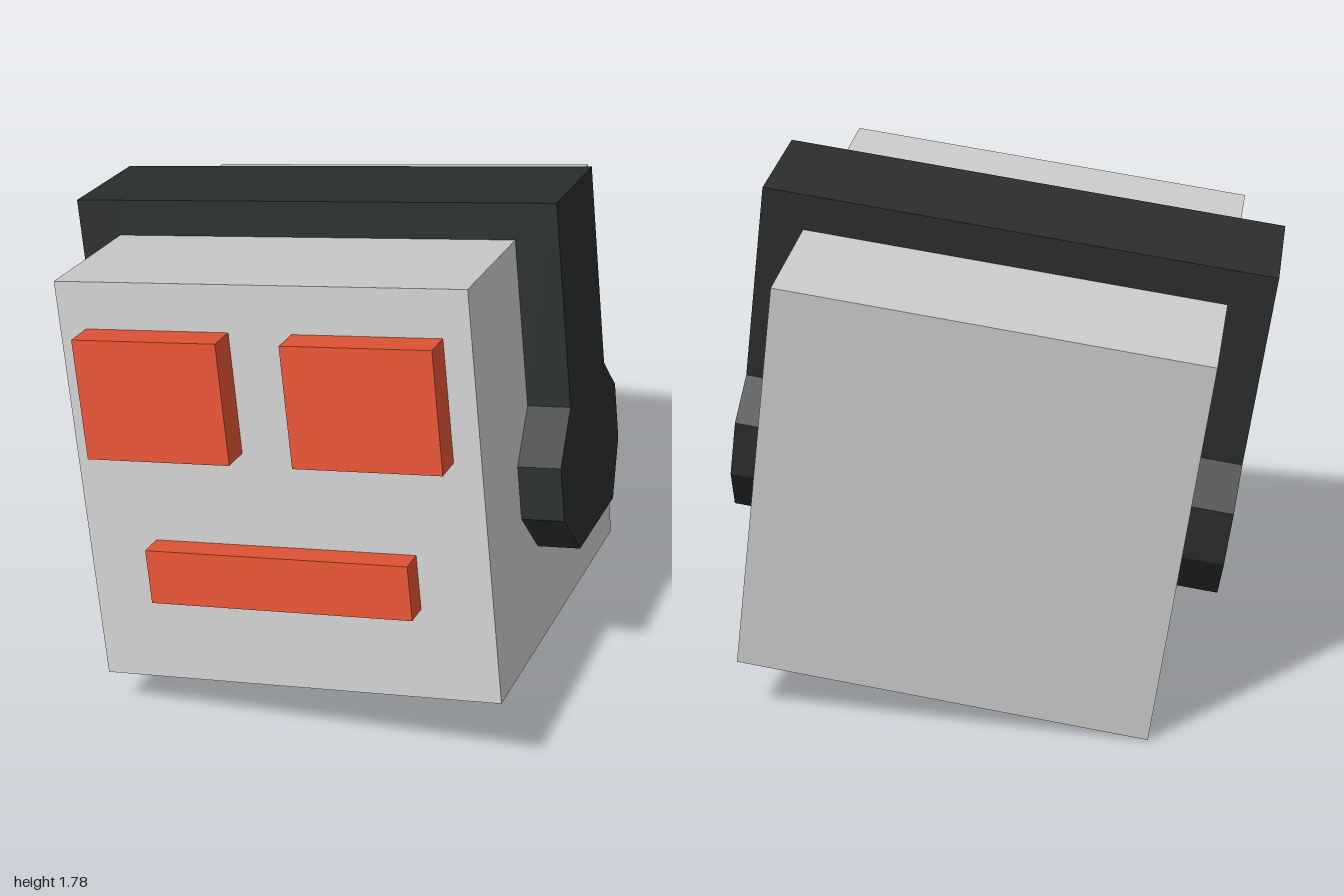
import * as THREE from 'three';

const HALF = 0.683;   // half of the cubic head
const OUTER = 0.825;  // outer face of the headset sides
const TOP = 0.803;    // top of the headband
const BAND_Z = -0.02;

const grey = new THREE.MeshStandardMaterial({ color: 0xcccccc });
const red = new THREE.MeshStandardMaterial({ color: 0xe25335 });
const black = new THREE.MeshStandardMaterial({ color: 0x2a2e2d });

function box(name, material, [w, h, d], [x, y, z]) {
  const mesh = new THREE.Mesh(new THREE.BoxGeometry(w, h, d), material);
  mesh.name = name;
  mesh.position.set(x, y, z);
  return mesh;
}

// Side plate of the headset: straight arm widening into an eight-sided ear pad
function earPlate() {
  const outline = [
    [-0.21, TOP], [-0.21, 0.13], [-0.328, 0.01], [-0.328, -0.183],
    [-0.215, -0.36], [0.21, -0.36], [0.36, -0.2], [0.36, -0.02],
    [0.21, 0.13], [0.21, TOP],
  ].map(([z, y]) => new THREE.Vector2(z, y));
  return new THREE.ExtrudeGeometry(new THREE.Shape(outline), {
    depth: OUTER - HALF, bevelEnabled: false,
  }).rotateY(-Math.PI / 2);
}

export function createModel() {
  const model = new THREE.Group();
  model.name = 'robotHead';
  const tilted = new THREE.Group();
  tilted.name = 'tiltedHead';
  model.add(tilted);

  // Head
  tilted.add(box('head', grey, [HALF * 2, HALF * 2, HALF * 2], [0, 0, 0]));

  // Face: two square eyes and a bar mouth
  for (const s of [-1, 1]) {
    tilted.add(box(s > 0 ? 'leftEye' : 'rightEye', red,
      [0.488, 0.4, 0.106], [s * 0.349, 0.327, HALF + 0.053]));
  }
  tilted.add(box('mouth', red, [0.888, 0.184, 0.087], [0, -0.281, HALF + 0.0435]));

  // Headset: top band and mirrored side plates
  tilted.add(box('headband', black,
    [HALF * 2, TOP - HALF, 0.42], [0, (TOP + HALF) / 2, BAND_Z]));
  const plate = earPlate();
  for (const s of [-1, 1]) {
    const mesh = new THREE.Mesh(plate, black);
    mesh.name = s > 0 ? 'leftEarPad' : 'rightEarPad';
    mesh.position.set(s > 0 ? OUTER : -HALF, 0, BAND_Z);
    tilted.add(mesh);
  }

  // Pose: the cube rests on one corner
  const up = new THREE.Vector3(-0.176, 0.983, -0.055).normalize();
  const front = new THREE.Vector3(0.369, 0.118, 0.922);
  const side = new THREE.Vector3().crossVectors(up, front).normalize();
  front.crossVectors(side, up);
  tilted.quaternion.setFromRotationMatrix(new THREE.Matrix4().makeBasis(side, up, front));
  tilted.position.set(0, 0.848, -0.008);
  return model;
}
